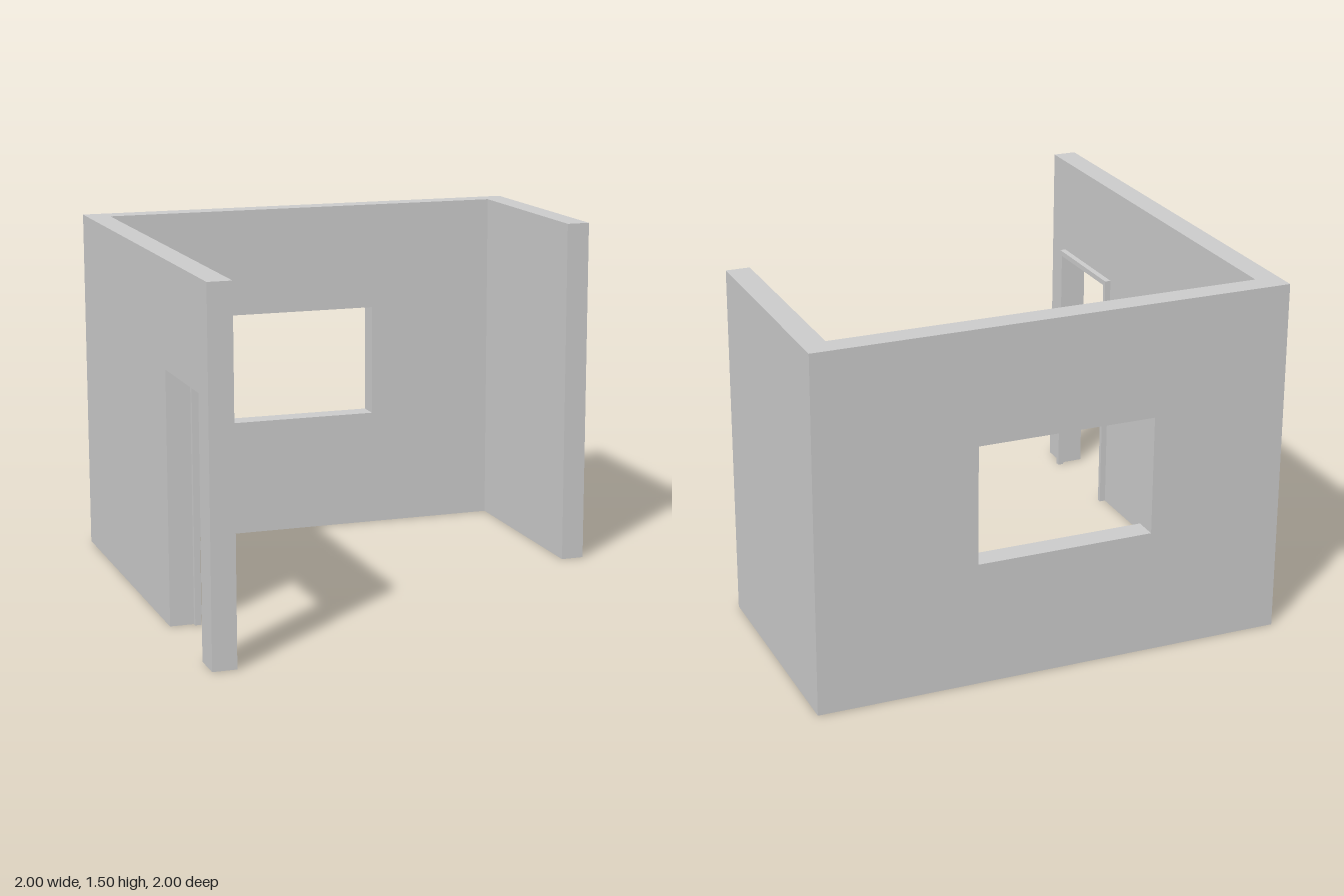
import * as THREE from 'three';

const material = new THREE.MeshStandardMaterial({ color: 0xcccccc });
const HEIGHT = 1.5;
const THICK = 0.1;

const outline = (points) => new THREE.Shape(points.map(([a, b]) => new THREE.Vector2(a, b)));
const rect = (a0, b0, a1, b1) => [[a0, b0], [a1, b0], [a1, b1], [a0, b1]];

function panel(name, shape, depth) {
  const geometry = new THREE.ExtrudeGeometry(shape, { depth, bevelEnabled: false });
  const mesh = new THREE.Mesh(geometry, material);
  mesh.name = name;
  return mesh;
}

// Panel drawn in (z, y) whose face with the highest x lies at xMax
function sidePanel(name, shape, depth, xMax) {
  const mesh = panel(name, shape, depth);
  mesh.geometry.rotateY(-Math.PI / 2);
  mesh.position.x = xMax;
  return mesh;
}

// Upside-down U outline around a doorway: outer rectangle minus an opening to the floor
function archway(z0, z1, top, open0, open1, openTop) {
  return outline([
    [z0, 0], [open0, 0], [open0, openTop], [open1, openTop],
    [open1, 0], [z1, 0], [z1, top], [z0, top],
  ]);
}

export function createModel() {
  const group = new THREE.Group();
  group.name = 'roomWalls';

  // Back wall with window opening
  const backShape = outline(rect(-1, 0, 1, HEIGHT));
  backShape.holes.push(outline(rect(-0.423, 0.523, 0.327, 1.023)));
  const backWall = panel('backWall', backShape, THICK);
  backWall.position.z = -1;
  group.add(backWall);

  // Long side wall with doorway
  const doorShape = archway(-1 + THICK, 1, HEIGHT, 0.385, 0.865, 1.057);
  group.add(sidePanel('doorWall', doorShape, THICK, -1 + THICK));

  // Thin trim on the room side of the doorway, narrowing the opening slightly
  const trimShape = archway(0.385, 0.865, 1.08, 0.405, 0.845, 1.057);
  group.add(sidePanel('doorTrim', trimShape, 0.026, -0.874));

  // Short solid side wall
  group.add(sidePanel('shortWall', outline(rect(-1 + THICK, 0, 0.005, HEIGHT)), THICK, 1));

  return group;
}
